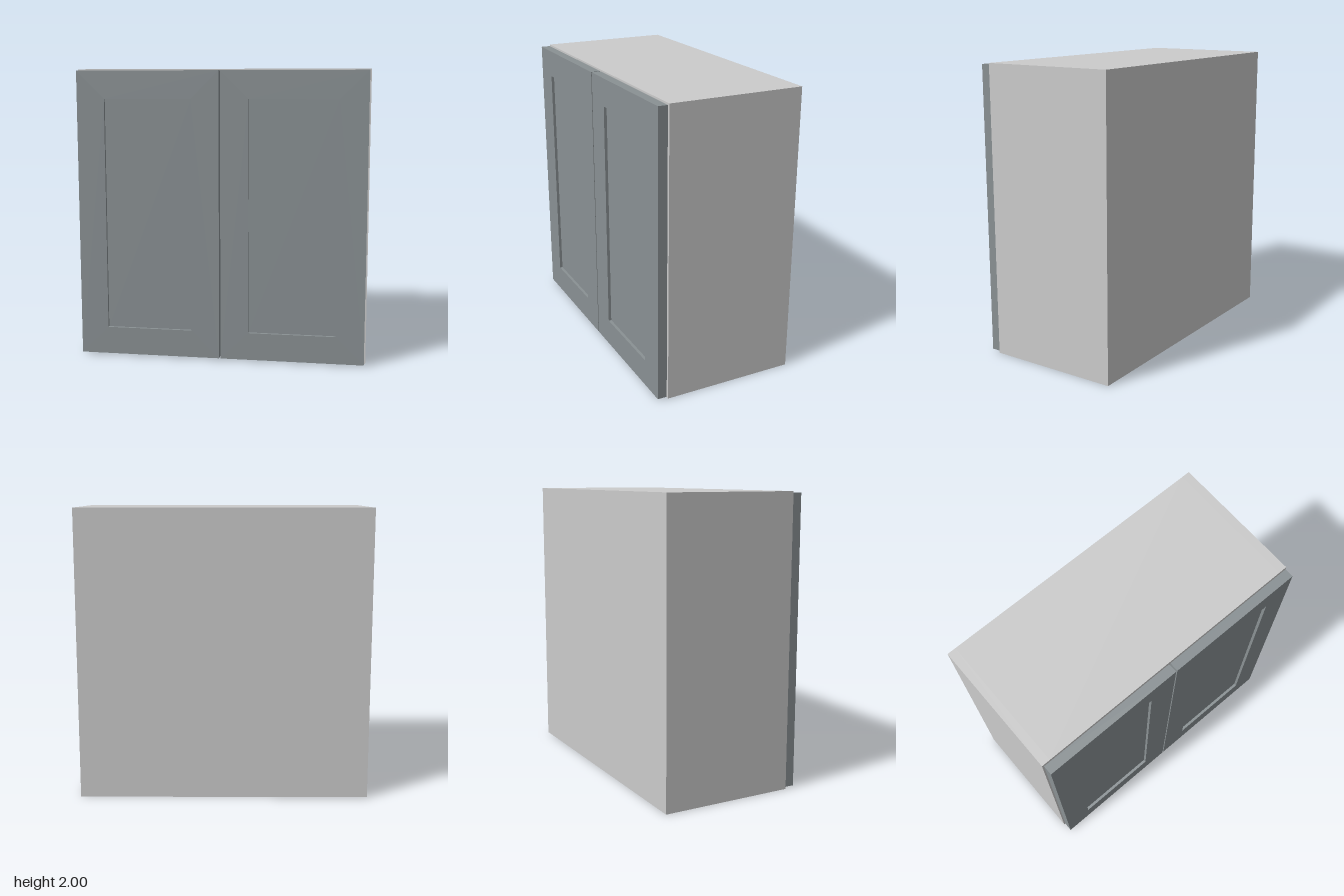
import * as THREE from 'three';

const carcassMaterial = new THREE.MeshStandardMaterial({ color: 0xcccccc });
const doorMaterial = new THREE.MeshStandardMaterial({ color: 0x8a9194 });

// Box given by its min and max corners
function board(name, [x0, y0, z0], [x1, y1, z1], material) {
  const geometry = new THREE.BoxGeometry(x1 - x0, y1 - y0, z1 - z0);
  geometry.translate((x0 + x1) / 2, (y0 + y1) / 2, (z0 + z1) / 2);
  const mesh = new THREE.Mesh(geometry, material);
  mesh.name = name;
  return mesh;
}

const rectangle = (Type, x0, y0, x1, y1) => new Type([
  new THREE.Vector2(x0, y0), new THREE.Vector2(x1, y0),
  new THREE.Vector2(x1, y1), new THREE.Vector2(x0, y1),
]);

const BACK = -0.5, FRONT = 0.43, WALL = 0.06, INNER = 1 - WALL;
const DOOR_BACK = 0.435, DOOR_FRONT = 0.5, RECESS = 0.02;

// Door: frame with a window, filled by a recessed panel
function door(name, centreX) {
  const group = new THREE.Group();
  group.name = name;
  const outline = rectangle(THREE.Shape, -0.4925, 0.01, 0.4925, 1.99);
  outline.holes.push(rectangle(THREE.Path, -0.3, 0.2, 0.3, 1.8));
  const frame = new THREE.Mesh(
    new THREE.ExtrudeGeometry(outline, { depth: DOOR_FRONT - DOOR_BACK, bevelEnabled: false }),
    doorMaterial,
  );
  frame.name = 'doorFrame';
  frame.position.z = DOOR_BACK;
  const panel = board('doorPanel', [-0.3, 0.2, DOOR_BACK], [0.3, 1.8, DOOR_FRONT - RECESS], doorMaterial);
  group.add(frame, panel);
  group.position.x = centreX;
  return group;
}

export function createModel() {
  const cabinet = new THREE.Group();
  cabinet.name = 'wallCabinet';

  // Carcass: sides, then boards between them
  cabinet.add(
    board('leftSide', [INNER, 0, BACK], [1, 2, FRONT], carcassMaterial),
    board('rightSide', [-1, 0, BACK], [-INNER, 2, FRONT], carcassMaterial),
    board('topBoard', [-INNER, 2 - WALL, BACK], [INNER, 2, FRONT], carcassMaterial),
    board('bottomBoard', [-INNER, 0, BACK], [INNER, WALL, FRONT], carcassMaterial),
    board('backPanel', [-INNER, WALL, BACK], [INNER, 2 - WALL, BACK + WALL], carcassMaterial),
    board('shelf', [-INNER, 0.97, BACK + WALL], [INNER, 1.03, FRONT], carcassMaterial),
  );

  // Pair of doors with a narrow gap
  cabinet.add(door('leftDoor', 0.4975), door('rightDoor', -0.4975));
  return cabinet;
}
